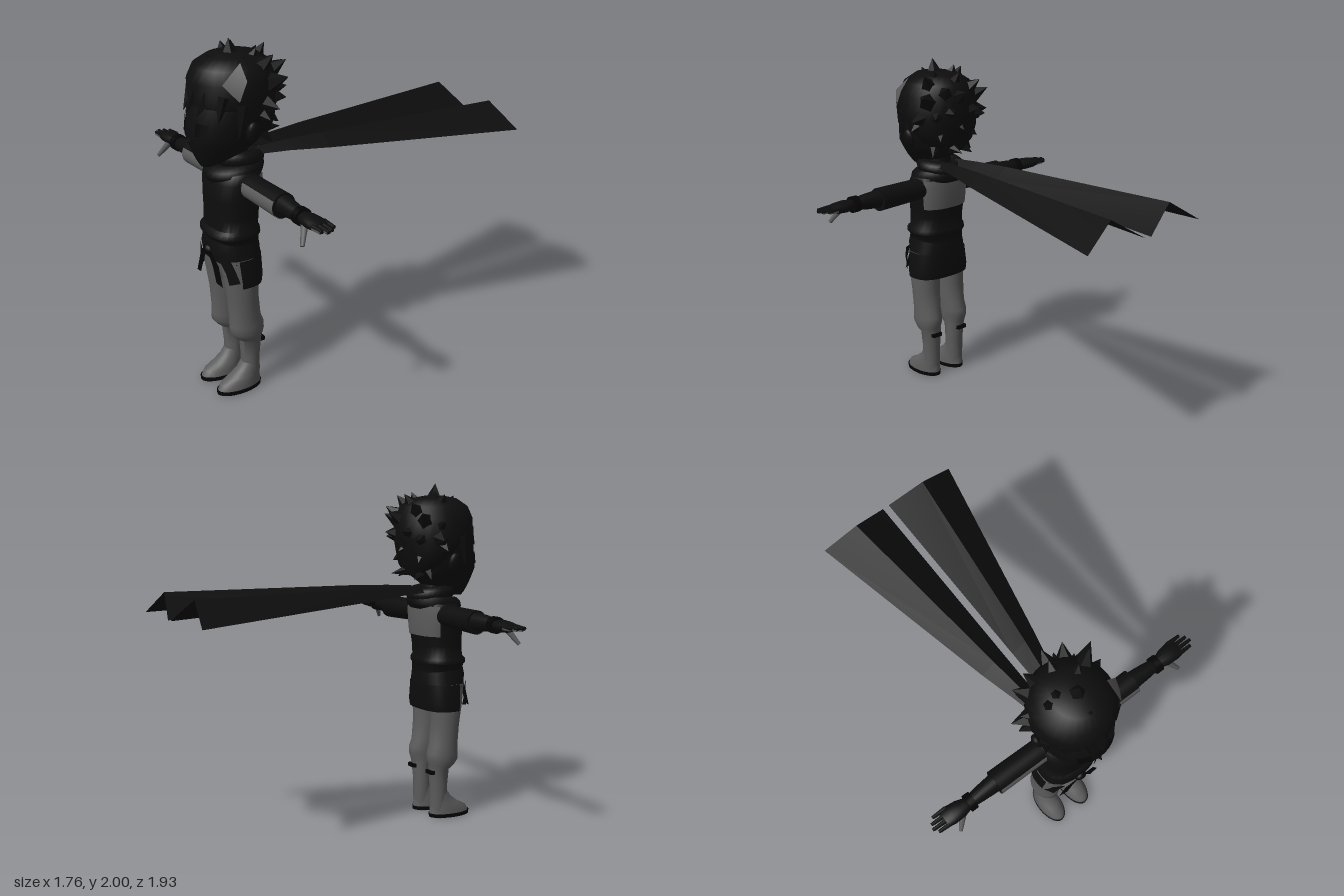
import * as THREE from 'three';
import { toCreasedNormals } from 'three/addons/utils/BufferGeometryUtils.js';

const mat = (name, color) => new THREE.MeshStandardMaterial({ name, color, side: THREE.DoubleSide });

// Grid surface from rows of [x, y, z] points
function grid(rows) {
  const n = rows[0].length, idx = [];
  for (let j = 0; j < rows.length - 1; j++) {
    for (let i = 0; i < n - 1; i++) {
      const a = j * n + i, b = a + 1, c = a + n, d = c + 1;
      idx.push(a, b, d, a, d, c);
    }
  }
  const g = new THREE.BufferGeometry();
  g.setAttribute('position', new THREE.Float32BufferAttribute(rows.flat(2), 3));
  g.setIndex(idx);
  return toCreasedNormals(g, 0.8);
}

// Stack of rounded sections [y, cx, cz, rx, rz]; angle 0 faces the front.
// A full turn is capped at both ends, a shorter range stays open.
function loft(rings, from = -Math.PI, to = Math.PI, square = 1, n = 28) {
  const bend = v => Math.sign(v) * Math.abs(v) ** square;
  const rows = rings.map(([y, cx, cz, rx, rz]) => Array.from({ length: n + 1 }, (_, i) => {
    const a = from + (to - from) * i / n;
    return [cx + rx * bend(Math.sin(a)), y, cz + rz * bend(Math.cos(a))];
  }));
  if (to - from > 6.28) {
    const point = ([y, cx, cz]) => Array.from({ length: n + 1 }, () => [cx, y, cz]);
    rows.unshift(point(rings[0]));
    rows.push(point(rings[rings.length - 1]));
  }
  return grid(rows);
}

// Tapered rod between two points
function rod(p, q, r0, r1, sides = 8) {
  const a = new THREE.Vector3(...p), b = new THREE.Vector3(...q), d = b.clone().sub(a);
  const g = new THREE.CylinderGeometry(r1, r0, d.length(), sides);
  g.applyQuaternion(new THREE.Quaternion().setFromUnitVectors(new THREE.Vector3(0, 1, 0), d.normalize()));
  return g.translate((a.x + b.x) / 2, (a.y + b.y) / 2, (a.z + b.z) / 2);
}

// Flat-sided lock of hair
function spike(p, q, r) {
  const g = rod(p, q, r, 0.001, 5).toNonIndexed();
  g.computeVertexNormals();
  return g;
}

export function createModel() {
  const model = new THREE.Group();
  model.name = 'caped figure';
  const dark = mat('charcoal', 0x0d0d0d), ink = mat('black', 0x040404), grey = mat('grey', 0x5c5c5c);
  const add = (parent, name, geo, m) => {
    const mesh = new THREE.Mesh(geo, m);
    mesh.name = name;
    parent.add(mesh);
    return mesh;
  };

  // Torso with flared hem, and the pale panel on the upper back
  add(model, 'torso', loft([
    [0.88, 0, 0.73, 0.155, 0.13], [0.935, 0, 0.733, 0.165, 0.135], [0.945, 0, 0.735, 0.177, 0.143],
    [0.97, 0, 0.735, 0.177, 0.14], [0.985, 0, 0.73, 0.165, 0.127], [1.05, 0, 0.725, 0.162, 0.128],
    [1.15, 0, 0.717, 0.172, 0.135], [1.25, 0, 0.712, 0.18, 0.135], [1.3, 0, 0.7, 0.17, 0.12],
    [1.34, 0, 0.69, 0.11, 0.09]], -Math.PI, Math.PI, 0.8), dark);
  add(model, 'backPanel', loft([
    [1.11, 0, 0.717, 0.173, 0.137], [1.16, 0, 0.716, 0.178, 0.141],
    [1.25, 0, 0.712, 0.185, 0.141], [1.29, 0, 0.703, 0.178, 0.13]],
    Math.PI * 0.64, Math.PI * 1.36, 0.8), grey);

  // Hips, short trousers behind, and the knotted sash hanging in front
  add(model, 'hips', loft([
    [0.8, 0, 0.73, 0.178, 0.133], [0.87, 0, 0.737, 0.165, 0.14], [0.93, 0, 0.735, 0.155, 0.13]],
    -Math.PI, Math.PI, 0.8), dark);
  add(model, 'shorts', loft([
    [0.66, 0, 0.73, 0.19, 0.125], [0.7, 0, 0.73, 0.192, 0.133], [0.82, 0, 0.735, 0.178, 0.138]],
    Math.PI * 0.42, Math.PI * 1.58, 0.75), dark);
  add(model, 'crotch', loft([
    [0.67, 0, 0.73, 0.05, 0.08], [0.72, 0, 0.73, 0.12, 0.1], [0.82, 0, 0.73, 0.16, 0.12]]), grey);
  add(model, 'sashKnot', new THREE.SphereGeometry(0.035, 12, 8).scale(1, 0.8, 0.7).translate(0, 0.86, 0.875), ink);

  // Scarf round the neck
  add(model, 'neck', new THREE.CylinderGeometry(0.075, 0.09, 0.16, 16).translate(0, 1.36, 0.7), dark);
  const wraps = [[1.3, 0.115, 0.05, 0.15, 0.7], [1.36, 0.1, 0.045, -0.12, 0.675]];
  for (const [y, r, tube, tilt, z] of wraps) {
    add(model, 'scarfWrap', new THREE.TorusGeometry(r, tube, 10, 28)
      .rotateX(Math.PI / 2 + tilt).translate(0, y, z), dark);
  }

  // Parts built on the left and mirrored
  for (const side of [1, -1]) {
    const half = new THREE.Group();
    half.name = side > 0 ? 'leftSide' : 'rightSide';
    half.scale.x = side;
    model.add(half);

    // Streaming scarf tail with a central ridge
    const tail = [[0.6, 0.09, 1.4, 1.37], [0.42, 0.13, 1.41, 1.365], [0.2, 0.185, 1.415, 1.35], [-0.95, 0.435, 1.415, 1.285]];
    add(half, 'scarfTail', grid(tail.map(([z, x, top, low]) => {
      const end = z < 0 ? 0.04 : 0;
      return [[0.02, low, z - end * 0.4], [0.02 + (x - 0.02) * 0.5, top, z + end], [x, low, z]];
    })), dark);

    // Arm parts run along x, so their sections are turned on their side
    const arm = (name, rings, m, ...range) => add(half, name,
      loft(rings.map(([x, y, z, ry, rz]) => [x, -y, z, ry, rz]), ...range).rotateZ(-Math.PI / 2), m);
    arm('sleeve', [[0.12, 1.235, 0.69, 0.06, 0.068], [0.2, 1.235, 0.688, 0.064, 0.066],
      [0.47, 1.23, 0.685, 0.068, 0.068]], dark);
    arm('sleevePanel', [[0.17, 1.235, 0.688, 0.067, 0.071], [0.2, 1.235, 0.688, 0.068, 0.07],
      [0.472, 1.23, 0.685, 0.071, 0.072]], grey, -0.55, 1.5);
    arm('forearm', [[0.46, 1.235, 0.685, 0.054, 0.052], [0.56, 1.235, 0.687, 0.046, 0.044],
      [0.64, 1.235, 0.69, 0.034, 0.034]], dark);
    arm('cuff', [[0.615, 1.235, 0.69, 0.047, 0.05], [0.655, 1.235, 0.69, 0.047, 0.05]], ink);
    arm('palm', [[0.65, 1.235, 0.69, 0.03, 0.035], [0.7, 1.237, 0.688, 0.035, 0.05],
      [0.76, 1.237, 0.685, 0.03, 0.055], [0.8, 1.237, 0.685, 0.018, 0.048]], dark);
    [0.845, 0.87, 0.88, 0.86].forEach((tip, i) => {
      const z = 0.642 + i * 0.027;
      add(half, 'fingerGlove', rod([0.76, 1.242, z], [tip, 1.24, z - 0.002], 0.014, 0.009), dark);
      add(half, 'fingerUnderside', rod([0.78, 1.236, z], [tip - 0.008, 1.234, z], 0.013, 0.009), grey);
    });
    add(half, 'thumb', rod([0.7, 1.225, 0.715], [0.755, 1.137, 0.766], 0.02, 0.011), grey);

    // Leg with gathered trouser hem
    add(half, 'leg', loft([
      [0.03, 0.093, 0.695, 0.05, 0.052], [0.1, 0.093, 0.693, 0.052, 0.053], [0.2, 0.093, 0.692, 0.056, 0.053],
      [0.3, 0.096, 0.69, 0.062, 0.062], [0.325, 0.1, 0.705, 0.07, 0.08], [0.36, 0.1, 0.712, 0.078, 0.1],
      [0.4, 0.1, 0.712, 0.079, 0.1], [0.45, 0.097, 0.72, 0.079, 0.09], [0.57, 0.096, 0.728, 0.085, 0.088],
      [0.7, 0.097, 0.735, 0.089, 0.1], [0.82, 0.093, 0.735, 0.084, 0.115]]), grey);
    add(half, 'calfStrap', new THREE.BoxGeometry(0.065, 0.022, 0.03).translate(0.1, 0.285, 0.63), ink);

    // Shoe and sole
    add(half, 'shoe', loft([
      [0.02, 0.093, 0.77, 0.069, 0.134], [0.055, 0.093, 0.762, 0.067, 0.122], [0.085, 0.093, 0.735, 0.06, 0.092],
      [0.12, 0.093, 0.71, 0.053, 0.068], [0.16, 0.093, 0.693, 0.052, 0.054]]), grey);
    add(half, 'sole', loft([[0.002, 0.093, 0.771, 0.071, 0.136], [0.024, 0.093, 0.771, 0.073, 0.138]]), ink);
    for (const [z, rz] of [[0.83, 0.065], [0.695, 0.05]]) {
      add(half, 'solePad', new THREE.CircleGeometry(1, 20).scale(0.055, rz, 1)
        .rotateX(Math.PI / 2).translate(0.093, 0, z), grey);
    }

    // Sash ends: one hanging forward, one sweeping to the hip
    add(half, 'sashTail', grid([
      [[0.0, 0.86, 0.882], [0.04, 0.86, 0.88]], [[0.05, 0.775, 0.878], [0.1, 0.79, 0.87]],
      [[0.085, 0.69, 0.88], [0.14, 0.68, 0.872]]]), ink);
    add(half, 'sashSide', grid([
      [[0.1, 0.83, 0.868], [0.165, 0.83, 0.83]], [[0.14, 0.76, 0.85], [0.182, 0.78, 0.815]],
      [[0.155, 0.69, 0.84], [0.188, 0.7, 0.79]]]), dark);

    // Ear and eye
    add(half, 'ear', new THREE.SphereGeometry(0.05, 12, 10).scale(0.5, 1.15, 0.75)
      .rotateZ(-0.2).translate(0.215, 1.55, 0.7), dark);
    add(half, 'eye', loft([[1.53, 0, 0.737, 0.205, 0.219], [1.6, 0, 0.73, 0.214, 0.213]], 0.25, 0.62), ink);
  }

  // Head tapering to the chin, with a small nose
  add(model, 'head', loft([
    [1.34, 0, 0.855, 0.035, 0.035], [1.365, 0, 0.82, 0.075, 0.085], [1.41, 0, 0.775, 0.125, 0.15],
    [1.46, 0, 0.75, 0.165, 0.19], [1.51, 0, 0.74, 0.195, 0.215], [1.6, 0, 0.73, 0.21, 0.208],
    [1.7, 0, 0.715, 0.215, 0.205], [1.8, 0, 0.7, 0.19, 0.18]]), dark);
  add(model, 'nose', spike([0, 1.505, 0.925], [0, 1.49, 0.968], 0.03), dark);

  // Hair mass and spikes
  add(model, 'hair', loft([
    [1.47, 0, 0.6, 0.1, 0.08], [1.53, 0, 0.61, 0.17, 0.12], [1.6, 0, 0.64, 0.215, 0.16],
    [1.68, 0, 0.69, 0.23, 0.235], [1.8, 0, 0.69, 0.225, 0.235], [1.87, 0, 0.69, 0.19, 0.205],
    [1.915, 0, 0.69, 0.12, 0.14], [1.93, 0, 0.69, 0.05, 0.06]]), dark);
  const tips = [
    [0.016, 2.0, 0.71], [-0.09, 1.96, 0.64], [-0.16, 1.94, 0.66], [0.1, 1.95, 0.6], [0.2, 1.93, 0.56],
    [0, 1.93, 0.83], [0, 1.94, 0.49], [-0.13, 1.89, 0.46], [0.13, 1.87, 0.44], [0.26, 1.82, 0.51],
    [-0.21, 1.83, 0.48], [-0.25, 1.78, 0.6], [-0.29, 1.68, 0.58], [0.285, 1.67, 0.58], [-0.27, 1.62, 0.62],
    [0.26, 1.61, 0.62], [0.03, 1.84, 0.4], [-0.09, 1.73, 0.42], [0.1, 1.72, 0.42], [0, 1.61, 0.45],
    [-0.18, 1.68, 0.47], [0.19, 1.69, 0.48], [-0.14, 1.55, 0.5], [0.14, 1.55, 0.5]];
  for (const t of tips) {
    const base = [0, 1.7, 0.68].map((c, i) => c + (t[i] - c) * 0.5);
    add(model, 'hairSpike', spike(base, t, 0.085), dark);
  }
  const locks = [
    [[0, 1.78, 0.88], [0, 1.645, 0.965], 0.05], [[0.08, 1.76, 0.86], [0.07, 1.64, 0.94], 0.05],
    [[-0.08, 1.76, 0.86], [-0.07, 1.64, 0.94], 0.05], [[0.15, 1.74, 0.82], [0.16, 1.61, 0.87], 0.05],
    [[-0.15, 1.74, 0.82], [-0.16, 1.61, 0.87], 0.05], [[0.2, 1.7, 0.75], [0.215, 1.53, 0.78], 0.04],
    [[-0.2, 1.7, 0.75], [-0.215, 1.53, 0.78], 0.04], [[0.03, 1.5, 0.58], [0.04, 1.48, 0.43], 0.05],
    [[-0.06, 1.5, 0.6], [-0.1, 1.45, 0.5], 0.05], [[0.09, 1.52, 0.6], [0.16, 1.45, 0.55], 0.05],
    [[-0.1, 1.52, 0.6], [-0.16, 1.45, 0.58], 0.05]];
  for (const [p, q, r] of locks) add(model, 'hairLock', spike(p, q, r), dark);

  // Pale streak in the hair on the left temple
  add(model, 'hairStreak', grid([
    [[0.17, 1.905, 0.74], [0.17, 1.91, 0.735]], [[0.183, 1.815, 0.85], [0.235, 1.83, 0.735]],
    [[0.236, 1.73, 0.785], [0.238, 1.735, 0.78]]]), grey);
  return model;
}
